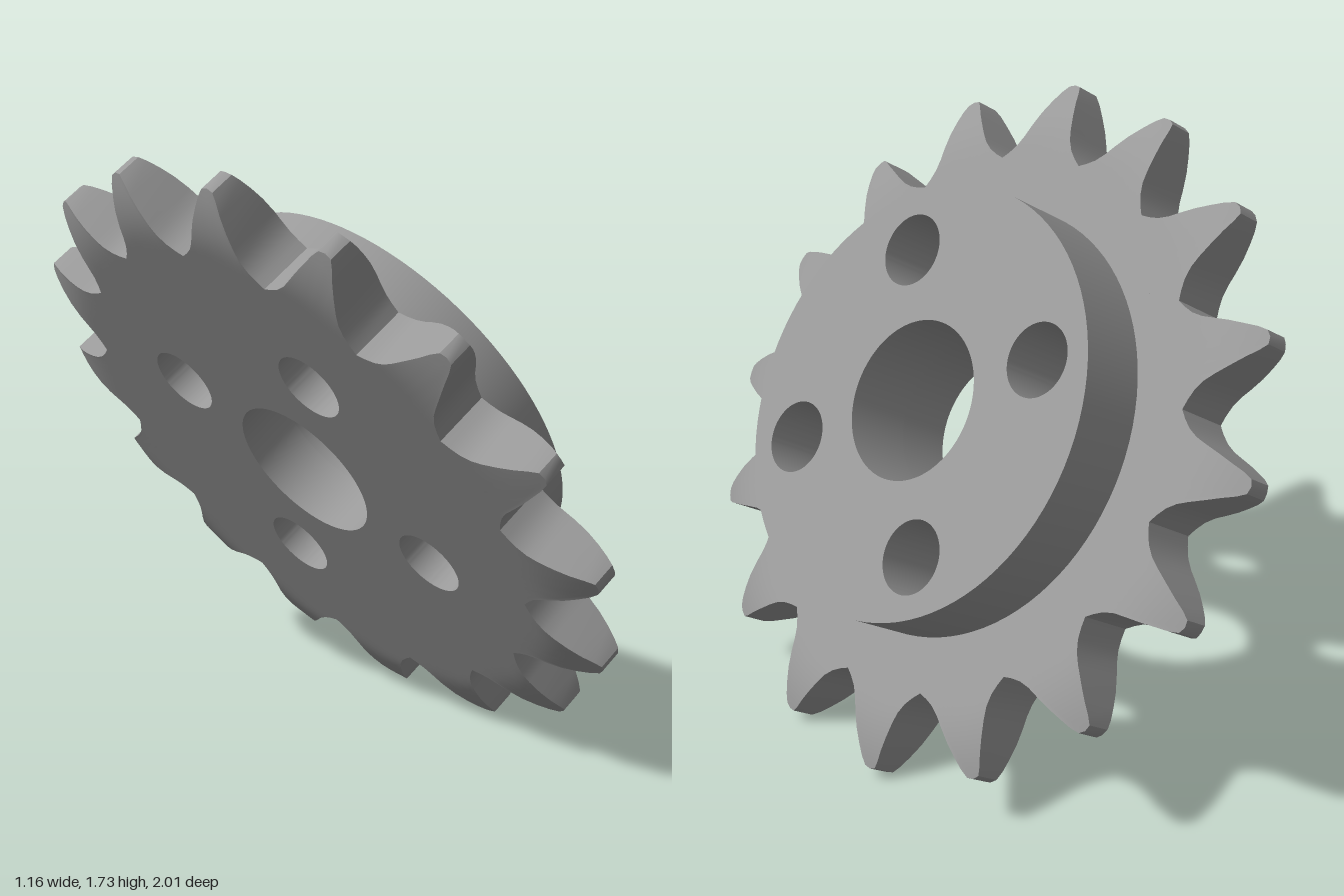
import * as THREE from 'three';
import { toCreasedNormals } from 'three/addons/utils/BufferGeometryUtils.js';

const TEETH = 16, BACK = -0.08, FRONT = 0.09, HUB_TOP = 0.3;
const RIM = 0.7, HUB_RADIUS = 0.625, BORE = 0.23;
const rad = THREE.MathUtils.degToRad;

// Round plate with the bore and four bolt holes, between two heights on the axle
function drilledPlate(radius, from, to) {
  const shape = new THREE.Shape().absarc(0, 0, radius, 0, Math.PI * 2, false);
  const drill = (x, y, r) => shape.holes.push(new THREE.Path().absarc(x, y, r, 0, Math.PI * 2, true));
  drill(0, 0, BORE);
  for (let i = 0; i < 4; i++) {
    const a = rad(30.5 + 90 * i);
    drill(0.452 * Math.cos(a), 0.452 * Math.sin(a), 0.105);
  }
  const geo = new THREE.ExtrudeGeometry(shape, { depth: to - from, bevelEnabled: false, curveSegments: 48 });
  geo.translate(0, 0, from);
  return toCreasedNormals(geo, 0.6);
}

// Toothed ring: cross-sections swept round the outline, thinning towards the tips
function toothedRing() {
  // half of a tooth: sideways offset, distance from the axle
  const half = [[0, 1.015], [0.02, 1.01], [0.033, 0.988], [0.046, 0.955], [0.062, 0.915],
    [0.078, 0.87], [0.09, 0.838], [0.108, 0.808], [0.13, 0.785], [0.1525, 0.7665]];
  const tooth = [...half.slice(1, -1).reverse().map(([w, r]) => [-w, r]), ...half];
  const outline = [];
  for (let t = 0; t < TEETH; t++) {
    for (const [w, r] of tooth) {
      outline.push([rad(7.5) + (t * Math.PI * 2) / TEETH + Math.atan2(w, r), Math.hypot(w, r)]);
    }
  }
  const steps = 10, middle = (BACK + FRONT) / 2, thick = (FRONT - BACK) / 2;
  const halfThickness = r => thick - 0.05 * Math.pow(Math.max(0, r - 0.82) / 0.195, 2);
  const positions = [], index = [], row = 2 * (steps + 1);
  outline.forEach(([a, reach], j) => {
    for (let k = 0; k < row; k++) {
      const back = k <= steps;
      const r = THREE.MathUtils.lerp(RIM - 0.01, reach, (back ? k : row - 1 - k) / steps);
      positions.push(r * Math.cos(a), r * Math.sin(a), middle + (back ? -1 : 1) * halfThickness(r));
    }
    const next = ((j + 1) % outline.length) * row;
    for (let k = 0; k < row - 1; k++) {
      const p = j * row + k, q = next + k;
      index.push(p, q, p + 1, q, q + 1, p + 1);
    }
  });
  const geo = new THREE.BufferGeometry();
  geo.setAttribute('position', new THREE.Float32BufferAttribute(positions, 3));
  geo.setIndex(index);
  return toCreasedNormals(geo, 0.6);
}

export function createModel() {
  const steel = new THREE.MeshStandardMaterial({ color: 0x999999 });
  steel.name = 'steel grey';
  const sprocket = new THREE.Group();
  sprocket.name = 'sprocket';
  const add = (name, geo) => {
    const mesh = new THREE.Mesh(geo, steel);
    mesh.name = name;
    sprocket.add(mesh);
  };
  add('disc', drilledPlate(RIM, BACK, FRONT));
  add('toothRing', toothedRing());
  add('hub', drilledPlate(HUB_RADIUS, FRONT, HUB_TOP));

  // Lean the axle up and to the side
  const axle = new THREE.Vector3(0.847, 0.53, 0.09).normalize();
  const up = new THREE.Vector3(-0.53, 0.847, 0).normalize();
  const side = new THREE.Vector3().crossVectors(up, axle);
  sprocket.quaternion.setFromRotationMatrix(new THREE.Matrix4().makeBasis(side, up, axle));
  sprocket.position.set(0, 0.868, 0);

  const model = new THREE.Group();
  model.name = 'tiltedSprocket';
  model.add(sprocket);
  return model;
}
